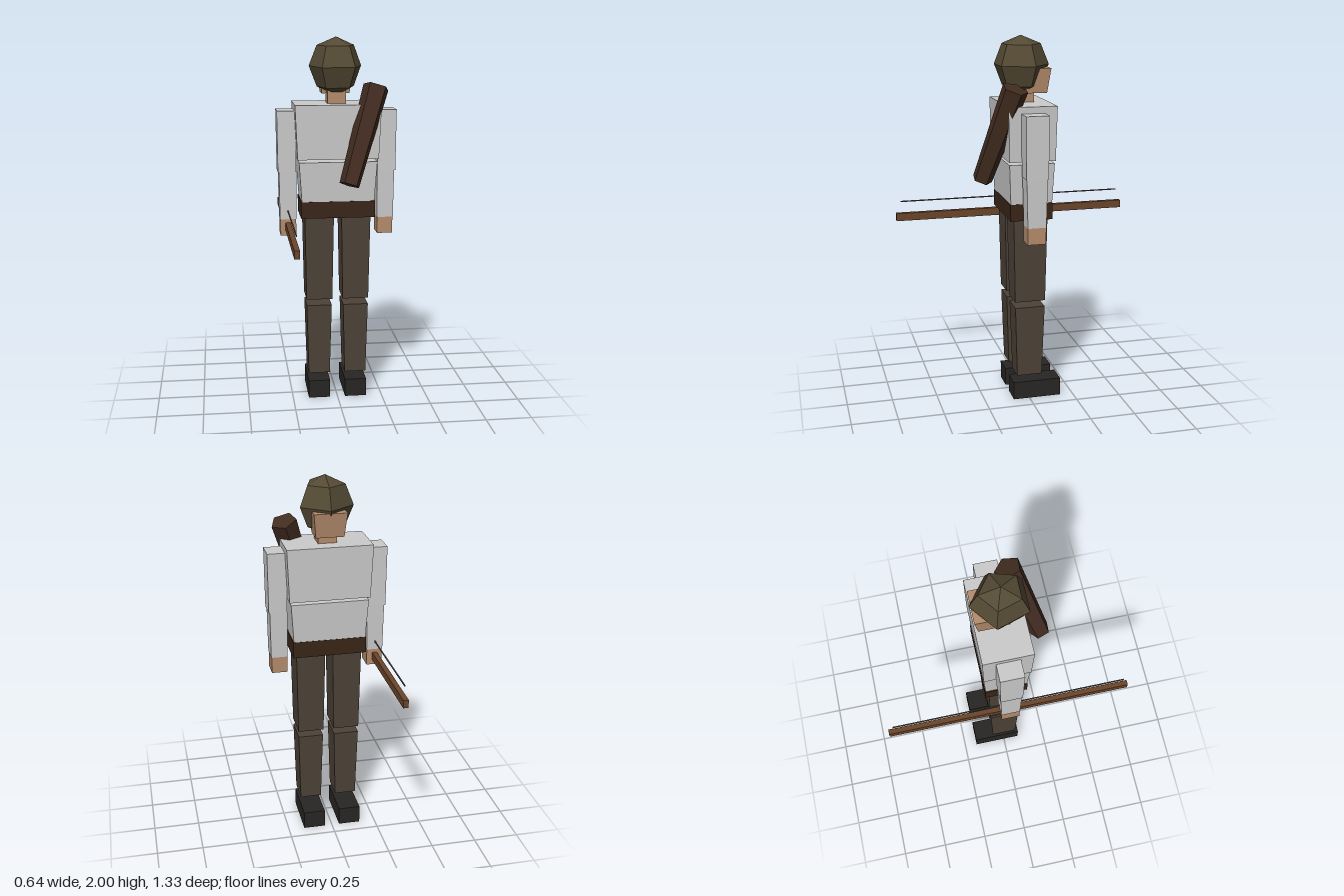
import * as THREE from 'three';

const mat = (color) => new THREE.MeshStandardMaterial({ color, flatShading: true });
const M = {
  shirt: mat(0xcccccc), skin: mat(0xb58c6c), trousers: mat(0x4d4237), leather: mat(0x3a2618),
  hood: mat(0x544a34), shoe: mat(0x282624), wood: mat(0x6b452b), quiver: mat(0x422c20), cord: mat(0x555555),
};

// Box between heights y0 and y1 whose top and bottom may differ: [width, depth]
function block(name, material, x, z, y0, y1, top, bottom = top) {
  const g = new THREE.BoxGeometry(1, 1, 1);
  const p = g.attributes.position;
  for (let i = 0; i < p.count; i++) {
    const [w, d] = p.getY(i) > 0 ? top : bottom;
    p.setX(i, p.getX(i) * w);
    p.setZ(i, p.getZ(i) * d);
  }
  g.scale(1, y1 - y0, 1);
  g.computeVertexNormals();
  const m = new THREE.Mesh(g, material);
  m.name = name;
  m.position.set(x, (y0 + y1) / 2, z);
  return m;
}

export function createModel() {
  const model = new THREE.Group();
  model.name = 'archer';

  // Torso
  model.add(
    block('chest', M.shirt, 0, 0, 1.36, 1.65, [0.46, 0.26], [0.435, 0.25]),
    block('waist', M.shirt, 0, 0, 1.12, 1.345, [0.42, 0.245], [0.39, 0.225]),
    block('belt', M.leather, 0, 0, 1.04, 1.13, [0.4, 0.23]),
    block('neck', M.skin, 0, 0, 1.64, 1.74, [0.1, 0.1]),
  );

  // Arms and legs
  for (const [side, s] of [['left', 1], ['right', -1]]) {
    const arm = new THREE.Group();
    arm.name = side + 'Arm';
    arm.add(
      block('upperArm', M.shirt, s * 0.27, 0, 1.285, 1.615, [0.104, 0.125], [0.098, 0.118]),
      block('forearm', M.shirt, s * 0.266, 0, 1.025, 1.285, [0.094, 0.112], [0.088, 0.1]),
      block('hand', M.skin, s * 0.265, 0, 0.935, 1.025, [0.085, 0.1]),
    );
    const leg = new THREE.Group();
    leg.name = side + 'Leg';
    leg.add(
      block('thigh', M.trousers, s * 0.1, 0, 0.575, 1.04, [0.158, 0.185], [0.142, 0.168]),
      block('shin', M.trousers, s * 0.101, 0, 0.14, 0.54, [0.138, 0.165], [0.118, 0.14]),
      block('shoe', M.shoe, s * 0.102, -0.044, 0, 0.1, [0.12, 0.268]),
    );
    model.add(arm, leg);
  }

  // Face block showing through a five-sided hood
  model.add(block('face', M.skin, 0, -0.06, 1.7, 1.83, [0.176, 0.15], [0.15, 0.112]));
  const hood = new THREE.Mesh(new THREE.SphereGeometry(0.155, 5, 4), M.hood);
  hood.name = 'hood';
  hood.geometry.rotateY(-Math.PI / 2);
  // Turn one corner of the pentagon towards -z
  const p = hood.geometry.attributes.position;
  let back = 0;
  for (let i = 0; i < p.count; i++) back = Math.max(back, p.getZ(i));
  if (back > 0.15) hood.geometry.rotateY(Math.PI);
  hood.scale.x = 0.96;
  hood.position.set(0, 1.845, 0.01);
  model.add(hood);

  // Quiver slung across the back
  const quiver = new THREE.Mesh(new THREE.CylinderGeometry(0.072, 0.056, 0.545, 5, 1, false, Math.PI), M.quiver);
  quiver.name = 'quiver';
  quiver.position.set(0.126, 1.492, 0.163);
  quiver.rotation.set(-0.28, 0, -0.3);
  model.add(quiver);

  // Bow held level in one hand, with its string above
  const bow = new THREE.Group();
  bow.name = 'bow';
  bow.add(
    block('bowStave', M.wood, -0.267, 0, 0.963, 1.006, [0.028, 1.325]),
    block('bowString', M.cord, -0.267, 0, 1.069, 1.075, [0.006, 1.27]),
  );
  model.add(bow);
  return model;
}
